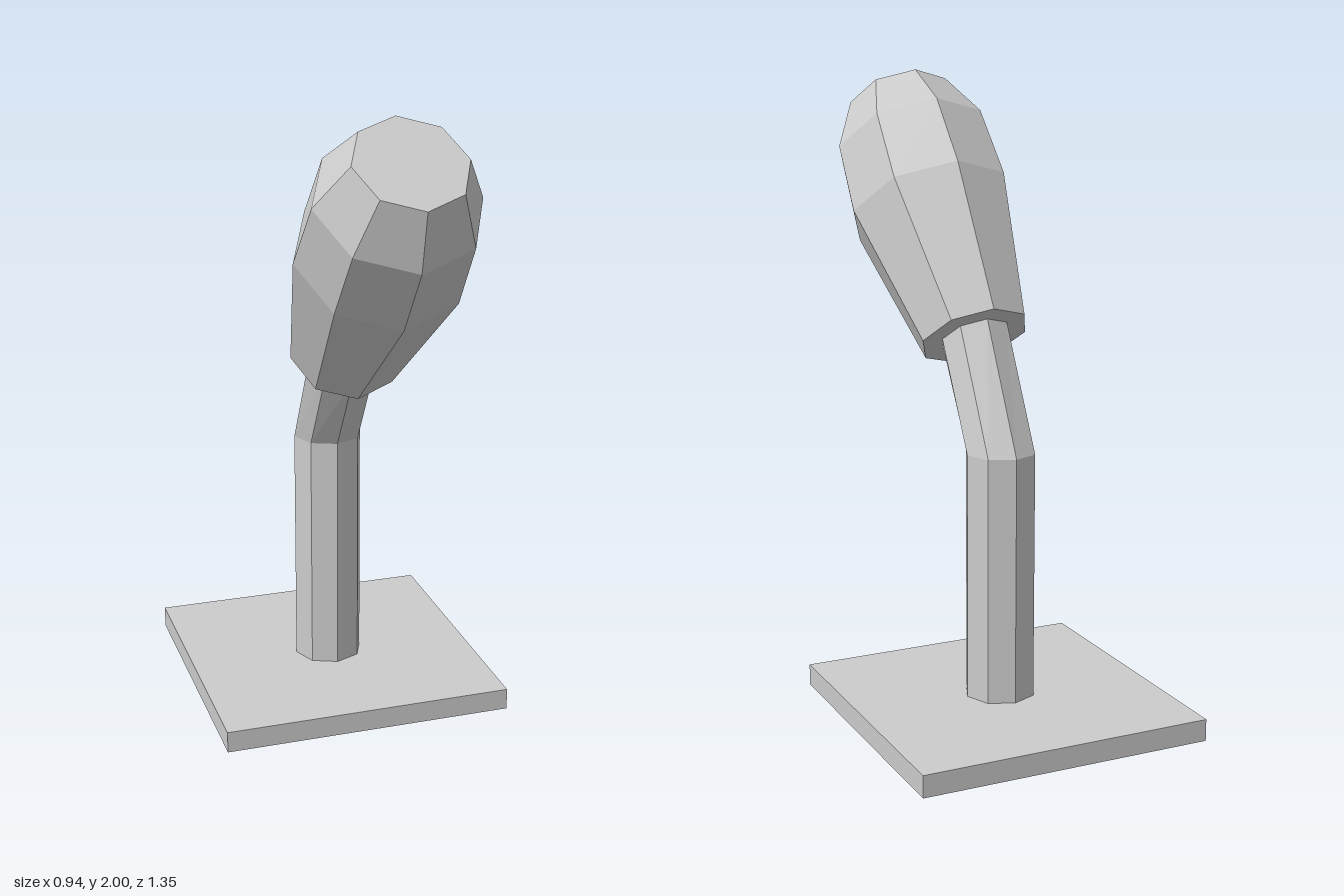
import * as THREE from 'three';

const SIDES = 8;
const material = new THREE.MeshStandardMaterial({ color: 0xcccccc, flatShading: true });

// Octagonal loft through rings { x, y, z, r, tilt }, closed at both ends.
// tilt leans a ring forward about the x axis.
function loft(name, rings) {
  const positions = [];
  const index = [];
  for (const { x, y, z, r, tilt } of rings) {
    for (let i = 0; i < SIDES; i++) {
      const a = (i / SIDES) * Math.PI * 2;
      const forward = r * Math.cos(a);
      positions.push(x + r * Math.sin(a), y - forward * Math.sin(tilt), z + forward * Math.cos(tilt));
    }
  }
  for (let k = 0; k < rings.length - 1; k++) {
    for (let i = 0; i < SIDES; i++) {
      const j = (i + 1) % SIDES;
      const a = k * SIDES + i, b = k * SIDES + j;
      index.push(a, b, b + SIDES, a, b + SIDES, a + SIDES);
    }
  }
  // end caps
  const top = (rings.length - 1) * SIDES;
  for (let i = 1; i < SIDES - 1; i++) {
    index.push(0, i + 1, i, top, top + i, top + i + 1);
  }
  const indexed = new THREE.BufferGeometry();
  indexed.setAttribute('position', new THREE.Float32BufferAttribute(positions, 3));
  indexed.setIndex(index);
  const geometry = indexed.toNonIndexed();
  geometry.computeVertexNormals();
  const mesh = new THREE.Mesh(geometry, material);
  mesh.name = name;
  return mesh;
}

export function createModel() {
  const group = new THREE.Group();
  group.name = 'standWithHead';

  // square base plate
  const base = new THREE.Mesh(new THREE.BoxGeometry(0.945, 0.07, 0.945), material);
  base.name = 'basePlate';
  base.position.set(0, 0.035, -0.2025);
  group.add(base);

  const tilt = Math.atan2(0.553, 0.705);
  const neck = { x: 0, y: 1.188, z: -0.015 };

  // upright post, bent forward into the head
  group.add(loft('bentPost', [
    { x: 0, y: 0.06, z: -0.199, r: 0.113, tilt: 0 },
    { x: 0, y: 0.857, z: -0.199, r: 0.113, tilt: 0 },
    { ...neck, r: 0.113, tilt },
  ]));

  // faceted head: distance along its axis, radius, slight sideways drift
  const profile = [
    [0, 0.177, 0.002],
    [0.481, 0.268, 0.02],
    [0.726, 0.256, 0.02],
    [0.896, 0.174, 0.02],
  ];
  group.add(loft('head', profile.map(([t, r, x]) => ({
    x,
    y: neck.y + t * Math.cos(tilt),
    z: neck.z + t * Math.sin(tilt),
    r,
    tilt,
  }))));

  return group;
}
